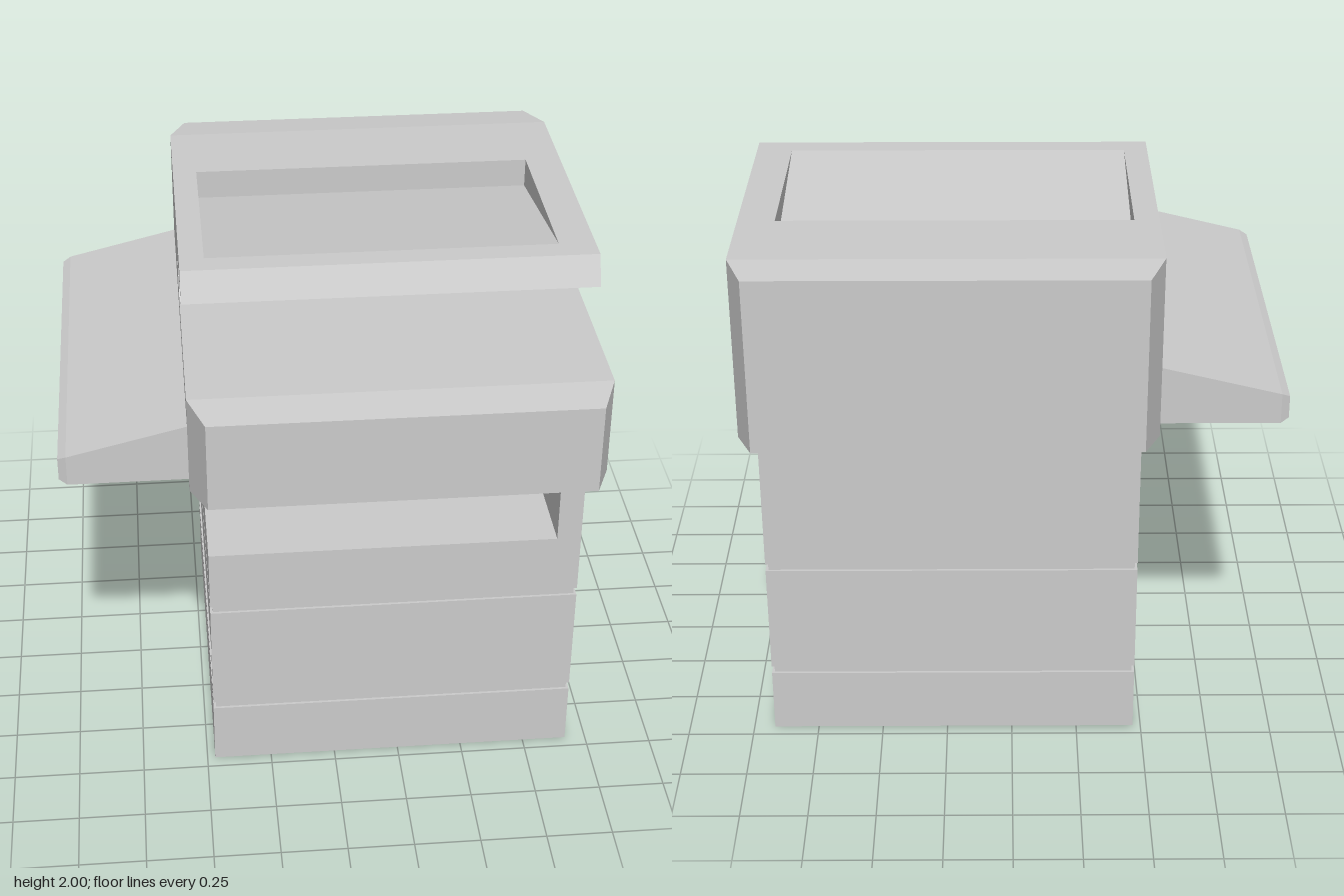
import * as THREE from 'three';
import { ConvexGeometry } from 'three/addons/geometries/ConvexGeometry.js';

const material = new THREE.MeshStandardMaterial({
  color: 0xcccccc, flatShading: true, side: THREE.DoubleSide,
});

function add(parent, name, geometry) {
  const mesh = new THREE.Mesh(geometry, material);
  mesh.name = name;
  parent.add(mesh);
  return mesh;
}

// Horizontal rectangle, counter-clockwise seen from above
const rectY = (y, x0, x1, z) => [[x0, y, z], [x1, y, z], [x1, y, -z], [x0, y, -z]];
// Upright rectangle facing the front or back
const rectZ = (z, x0, x1, y0, y1) => [[x0, y0, z], [x1, y0, z], [x1, y1, z], [x0, y1, z]];
// Upright rectangle facing -x
const rectX = (x, z, y0, y1) => [[x, y0, -z], [x, y0, z], [x, y1, z], [x, y1, -z]];

// Skin through four-cornered loops, closed on the last loop
function loft(loops, skip = () => false) {
  const pos = [];
  const quad = (a, b, c, d) => pos.push(...a, ...b, ...c, ...a, ...c, ...d);
  for (let i = 0; i < loops.length - 1; i++) {
    for (let j = 0; j < 4; j++) {
      if (skip(i, j)) continue;
      const k = (j + 1) % 4;
      quad(loops[i][j], loops[i][k], loops[i + 1][k], loops[i + 1][j]);
    }
  }
  quad(...loops[loops.length - 1]);
  const geo = new THREE.BufferGeometry();
  geo.setAttribute('position', new THREE.Float32BufferAttribute(pos, 3));
  geo.computeVertexNormals();
  return geo;
}

// Convex block between loops of corners
const block = (...loops) =>
  new ConvexGeometry(loops.flat().map((p) => new THREE.Vector3(...p)));

// Side profile of [z, y] points swept from x0 to x1
function sweepX(points, x0, x1) {
  const shape = new THREE.Shape(points.map(([z, y]) => new THREE.Vector2(-z, y)));
  const geo = new THREE.ExtrudeGeometry(shape, { depth: x1 - x0, bevelEnabled: false });
  return geo.rotateY(Math.PI / 2).translate(x0, 0, 0);
}

function createCabinet() {
  const cabinet = new THREE.Group();
  cabinet.name = 'cabinet';
  const X0 = -0.47, X1 = 0.92, Z = 0.7, G = 0.01;
  const outer = (y) => rectY(y, X0, X1, Z);
  const inner = (y) => rectY(y, X0 + G, X1 - G, Z - G);

  // Hollow shell with two grooves; the -x side of the middle band is left for the panel
  add(cabinet, 'cabinetShell', loft([
    outer(0), outer(0.25), inner(0.25), inner(0.28), outer(0.28),
    outer(0.71), inner(0.71), inner(0.74), outer(0.74), outer(0.975),
  ], (i, j) => i === 4 && j === 3));

  // Side panel inside a narrow channel
  add(cabinet, 'sidePanel', loft([
    rectX(X0, Z, 0.28, 0.71),
    rectX(X0, 0.66, 0.3, 0.69),
    rectX(X0 + 0.015, 0.66, 0.3, 0.69),
    rectX(X0 + 0.015, 0.64, 0.32, 0.67),
    rectX(X0 + 0.005, 0.635, 0.325, 0.665),
  ]));

  // Back wall and side pillar around the output bay
  const wall = new THREE.Shape([
    [X0, -Z], [X1, -Z], [X1, Z], [0.83, Z], [0.83, 0.54], [0.83, -0.54], [X0, -0.54],
  ].map(([x, z]) => new THREE.Vector2(x, -z)));
  add(cabinet, 'bayWalls', new THREE.ExtrudeGeometry(wall, { depth: 0.305, bevelEnabled: false })
    .rotateX(-Math.PI / 2).translate(0, 0.975, 0));
  return cabinet;
}

function createHousing() {
  const housing = new THREE.Group();
  housing.name = 'scannerHousing';
  const X0 = -0.53, X1 = 0.98, Z = 0.755, C = 0.06;
  const lip = [[0.38, 1.89], [0.435, 1.89], [0.39, 2]];
  const back = [[-Z, 2], [-Z, 1.31]];

  // Outer sides with the short slot
  const side = [[Z, 1.31], [Z, 1.69], [0.05, 1.69], [-0.04, 1.845], ...lip, ...back];
  add(housing, 'housingRightSide', sweepX(side, X0, -0.44));
  add(housing, 'housingLeftSide', sweepX(side, 0.845, X1));

  // Middle with the deep slot and the sloping paper recess in the lid
  add(housing, 'housingMiddle', sweepX([
    [Z, 1.31], [Z, 1.69], [-0.41, 1.69], [-0.41, 1.8], ...lip,
    [0.3, 2], [-0.41, 1.89], [-0.41, 2], ...back,
  ], -0.44, 0.845));

  // Chamfered front, back and underside
  add(housing, 'housingFront', block(
    rectZ(Z, X0, X1, 1.31, 1.69), rectZ(0.905, X0 + C, X1 - C, 1.325, 1.67)));
  add(housing, 'housingBack', block(
    rectZ(-Z, X0, X1, 1.31, 2), rectZ(-0.905, X0 + C, X1 - C, 1.325, 1.985)));
  add(housing, 'housingUnderside', block(
    rectY(1.31, X0, X1, Z), rectY(1.325, X0 + C, X1 - C, 0.905),
    rectY(1.28, X0 + C, X1 - C, 0.7)));
  return housing;
}

export function createModel() {
  const model = new THREE.Group();
  model.name = 'photocopier';
  model.add(createCabinet(), createHousing());

  // Wedge-shaped tray with a bevelled outer end
  add(model, 'sideTray', block(
    rectX(-0.53, 0.755, 1.36, 1.58),
    rectX(-0.96, 0.755, 1.36, 1.475),
    rectX(-0.99, 0.74, 1.375, 1.46)));
  return model;
}
